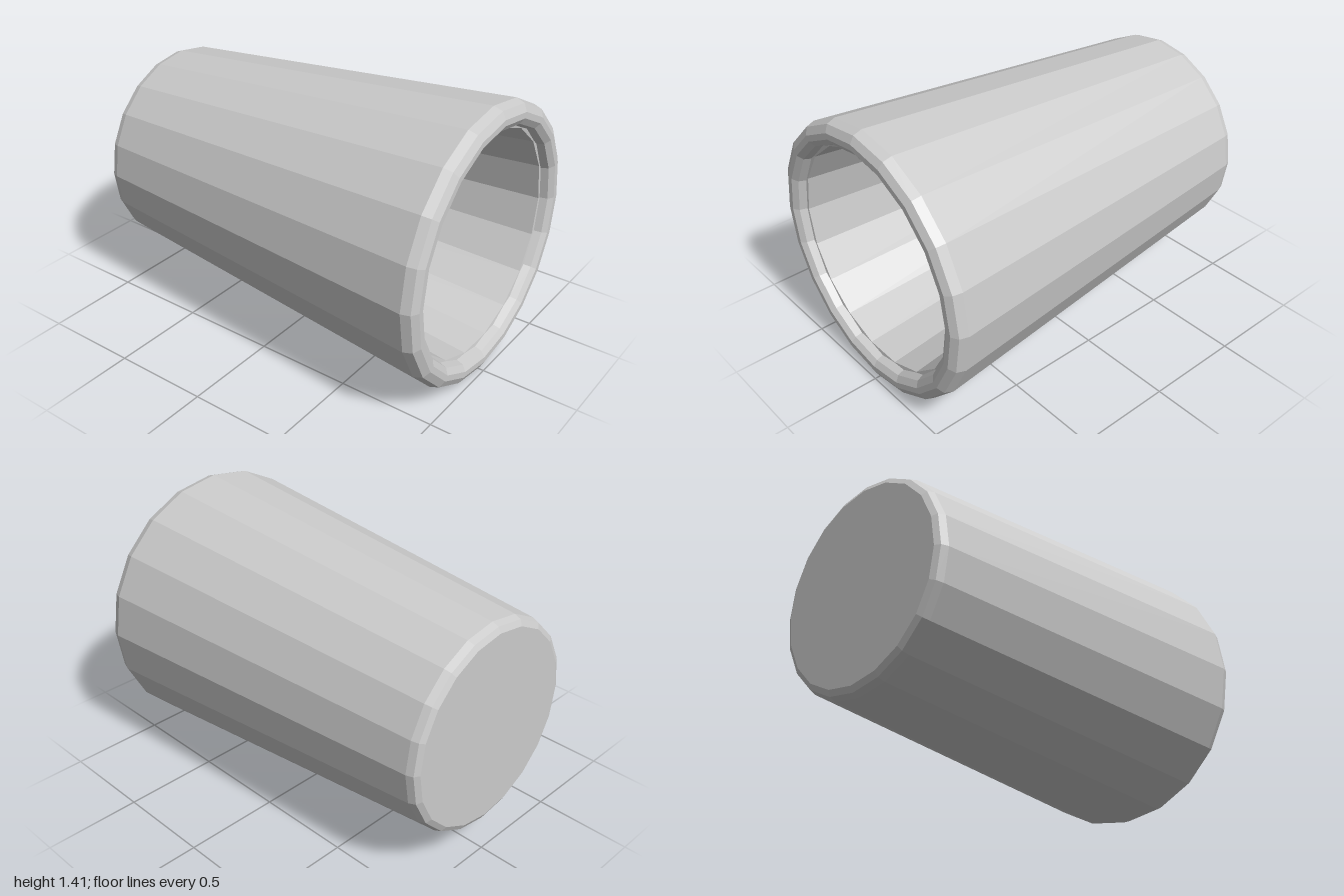
import * as THREE from 'three';

const material = new THREE.MeshStandardMaterial({ color: 0xcccccc, flatShading: true });

// Turns a profile of [radius, z] points around the z axis
function turned(name, profile, sides, phiStart) {
  const points = profile.map(([r, z]) => new THREE.Vector2(r, z));
  const geometry = new THREE.LatheGeometry(points, sides, phiStart);
  geometry.rotateX(Math.PI / 2);
  const mesh = new THREE.Mesh(geometry, material);
  mesh.name = name;
  return mesh;
}

export function createModel() {
  const cup = new THREE.Group();
  cup.name = 'cup';

  // Base, tapered outer wall and rounded rim
  cup.add(turned('outerShell', [
    [0, -1], [0.5, -1], [0.528, -0.985], [0.541, -0.95],
    [0.707, 0.935], [0.692, 0.98], [0.655, 1],
    [0.625, 1], [0.595, 0.98], [0.583, 0.94],
  ], 20, 0));

  // Inner wall and floor, starting with a narrow ledge that meets the rim
  cup.add(turned('innerShell', [
    [0.6, 0.945], [0.573, 0.94], [0.393, -0.85], [0.382, -0.88], [0.355, -0.9], [0, -0.9],
  ], 18, Math.PI / 2));

  // The cup lies on its side with the opening to the front
  cup.position.y = 0.71;
  const model = new THREE.Group();
  model.add(cup);
  return model;
}
